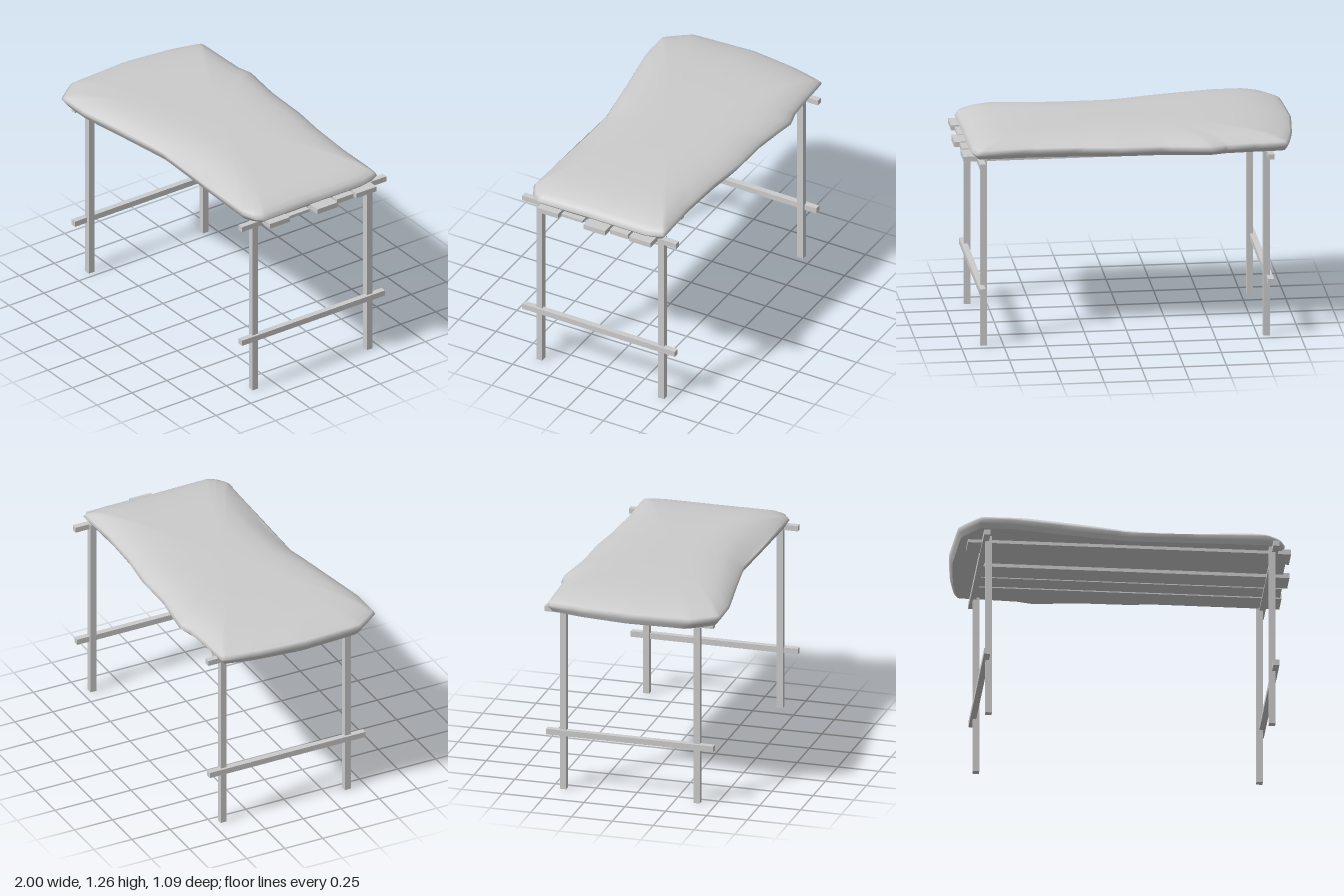
import * as THREE from 'three';

const mat = new THREE.MeshStandardMaterial({ color: 0xcccccc });
const coverMat = new THREE.MeshStandardMaterial({ color: 0xcccccc, side: THREE.DoubleSide });

// Box given by its extents on each axis
function beam(name, x0, x1, y0, y1, z0, z1) {
  const mesh = new THREE.Mesh(new THREE.BoxGeometry(x1 - x0, y1 - y0, z1 - z0), mat);
  mesh.position.set((x0 + x1) / 2, (y0 + y1) / 2, (z0 + z1) / 2);
  mesh.name = name;
  return mesh;
}

// Soft roof covering: an irregular outline lofted through scaled rings
function createCover() {
  // x, rim height, z, running clockwise seen from above
  const outline = [
    [-0.925, 1.18, -0.5], [-0.75, 1.18, -0.51], [-0.57, 1.175, -0.52], [-0.47, 1.172, -0.545],
    [-0.2, 1.18, -0.51], [0.08, 1.18, -0.505], [0.3, 1.185, -0.48], [0.6, 1.185, -0.465],
    [0.905, 1.175, -0.47], [0.935, 1.165, -0.35], [0.935, 1.165, 0], [0.942, 1.165, 0.36],
    [0.91, 1.17, 0.41], [0.83, 1.185, 0.45], [0.4, 1.185, 0.44], [0, 1.185, 0.43],
    [-0.35, 1.185, 0.485], [-0.67, 1.185, 0.54], [-0.87, 1.185, 0.54], [-0.98, 1.19, 0.39],
    [-1, 1.195, 0], [-0.97, 1.19, -0.3],
  ].map(p => new THREE.Vector3(...p));
  const n = 110;
  const rim = new THREE.CatmullRomCurve3(outline, true, 'catmullrom', 0.1).getPoints(n).slice(0, n);

  // scale in x, scale in z, blend from rim height, target height
  const rings = [
    [0, 0, 1, 1.144], [0.98, 0.94, 1, 1.14],
    [0.98, 0.94, 1, 1.14], [0.992, 0.97, 0.6, 1.148], [1, 1, 0, 0],
    [0.985, 0.98, 0.6, 1.212], [0.95, 0.93, 0.85, 1.22], [0.88, 0.86, 1, 1.234],
    [0.79, 0.76, 1, 1.246], [0.65, 0.62, 1, 1.257], [0.4, 0.38, 1, 1.262], [0, 0, 1, 1.262],
  ];
  // Shallow sag behind the middle of the front edge
  const sag = (x, z) => 0.022 * Math.exp(-(((x - 0.3) / 0.35) ** 2) - ((z - 0.38) / 0.08) ** 2);
  const pos = [], idx = [];
  rings.forEach(([sx, sz, blend, y], r) => {
    for (const p of rim) {
      const x = p.x * sx, z = p.z * sz;
      pos.push(x, p.y + (y - p.y) * blend - (r > 4 ? sag(x, z) : 0), z);
    }
  });
  for (let r = 0; r < rings.length - 1; r++) {
    if (r === 1) continue; // crease between underside and rolled edge
    for (let i = 0; i < n; i++) {
      const a = r * n + i, b = r * n + (i + 1) % n;
      idx.push(b, a, a + n, b, a + n, b + n);
    }
  }
  const geo = new THREE.BufferGeometry();
  geo.setAttribute('position', new THREE.Float32BufferAttribute(pos, 3));
  geo.setIndex(idx);
  geo.computeVertexNormals();
  const mesh = new THREE.Mesh(geo, coverMat);
  mesh.name = 'roofCover';
  return mesh;
}

export function createModel() {
  const model = new THREE.Group();
  model.name = 'shelter';

  // End frames: two legs, a low rail and a top rail each
  for (const [side, legX, railX] of [['right', -0.803, -0.82], ['left', 0.865, 0.881]]) {
    const frame = new THREE.Group();
    frame.name = side + 'Frame';
    frame.add(
      beam('frontLeg', legX - 0.019, legX + 0.019, 0, 1.14, 0.366, 0.405),
      beam('backLeg', legX - 0.019, legX + 0.019, 0, 1.14, -0.452, -0.413),
      beam('lowRail', railX - 0.018, railX + 0.018, 0.337, 0.372, -0.532, 0.492),
      beam('topRail', railX - 0.018, railX + 0.018, 1.107, 1.14, -0.542, 0.492),
    );
    model.add(frame);
  }

  // Roof planks: left end x, right end x, z range, y range
  const planks = [
    [-0.92, 0.98, 0.205, 0.348, 1.121, 1.152],
    [-0.835, 0.96, 0.052, 0.195, 1.128, 1.146],
    [-0.835, 1, -0.12, 0.024, 1.12, 1.152],
    [-0.835, 0.97, -0.257, -0.137, 1.122, 1.152],
    [-0.835, 0.98, -0.415, -0.27, 1.121, 1.152],
  ];
  planks.forEach(([x0, x1, z0, z1, y0, y1], i) =>
    model.add(beam('plank' + (i + 1), x0, x1, y0, y1, z0, z1)));

  model.add(createCover());
  return model;
}
